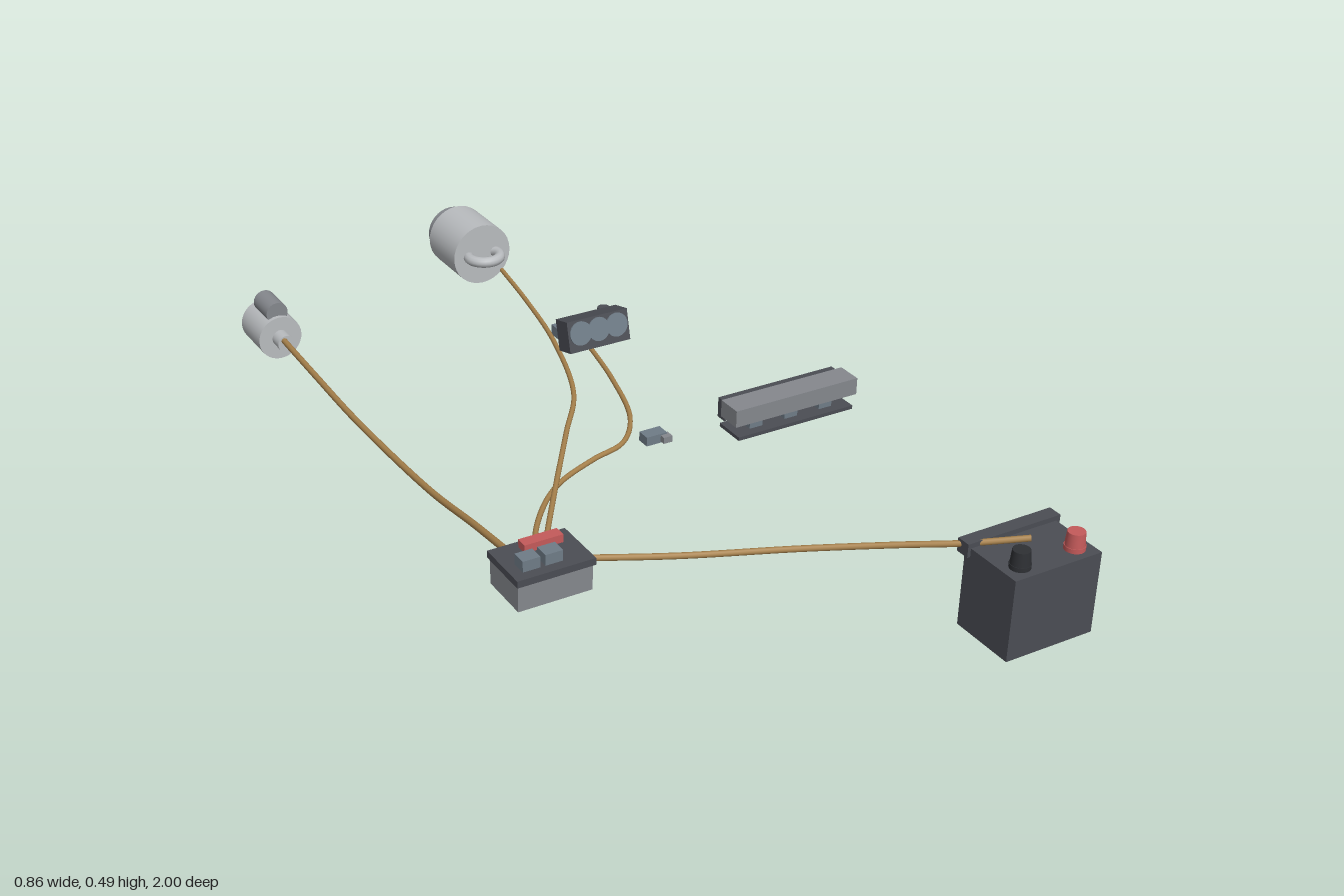
import * as THREE from 'three';

const mat = (color) => new THREE.MeshStandardMaterial({ color });
const M = {
  dark: mat(0x4b4d54), black: mat(0x2e3034), mid: mat(0x85888d), light: mat(0xb9bcbf),
  slate: mat(0x6f7c87), red: mat(0xc45a5a), cable: mat(0xa9834d),
};

export function createModel() {
  const root = new THREE.Group();

  const group = (name) => {
    const g = new THREE.Group();
    g.name = name;
    root.add(g);
    return g;
  };
  const add = (parent, name, geo, material) => {
    const m = new THREE.Mesh(geo, material);
    m.name = name;
    parent.add(m);
    return m;
  };
  // box from its low and high corners
  const box = (parent, name, material, [x0, y0, z0], [x1, y1, z1]) => {
    const m = add(parent, name, new THREE.BoxGeometry(x1 - x0, y1 - y0, z1 - z0), material);
    m.position.set((x0 + x1) / 2, (y0 + y1) / 2, (z0 + z1) / 2);
    return m;
  };
  // cylinder along z, from z0 to z1
  const cylZ = (parent, name, material, x, y, z0, z1, r) => {
    const m = add(parent, name, new THREE.CylinderGeometry(r, r, Math.abs(z1 - z0), 32), material);
    m.rotation.x = Math.PI / 2;
    m.position.set(x, y, (z0 + z1) / 2);
    return m;
  };
  // upright cylinder from y0 to y1
  const cylY = (parent, name, material, x, z, y0, y1, rBottom, rTop) => {
    const m = add(parent, name, new THREE.CylinderGeometry(rTop, rBottom, y1 - y0, 24), material);
    m.position.set(x, (y0 + y1) / 2, z);
    return m;
  };

  // battery with rear ledge and two posts
  const battery = group('battery');
  box(battery, 'batteryCase', M.dark, [0.242, 0.185, 0.876], [0.418, 0.338, 1]);
  box(battery, 'batteryLedge', M.dark, [0.236, 0.322, 0.864], [0.426, 0.347, 0.89]);
  for (const [name, x, m] of [['negative', 0.275, M.black], ['positive', 0.387, M.red]]) {
    cylY(battery, name + 'PostBase', m, x, 0.97, 0.337, 0.346, 0.018, 0.018);
    cylY(battery, name + 'Post', m, x, 0.97, 0.345, 0.371, 0.017, 0.015);
  }

  // fuse box with relays and a fuse strip
  const fuseBox = group('fuseBox');
  box(fuseBox, 'fuseBoxBase', M.mid, [-0.426, 0.265, 0.506], [-0.29, 0.313, 0.602]);
  box(fuseBox, 'fuseBoxLid', M.dark, [-0.429, 0.313, 0.502], [-0.286, 0.326, 0.606]);
  for (const x of [-0.409, -0.368]) {
    box(fuseBox, 'relay', M.slate, [x, 0.326, 0.559], [x + 0.032, 0.346, 0.587]);
  }
  box(fuseBox, 'fuseStrip', M.red, [-0.38, 0.326, 0.517], [-0.309, 0.341, 0.539]);

  // alternator with a horizontal ring at the nose
  const alternator = group('alternator');
  cylZ(alternator, 'alternatorBody', M.light, 0.205, 0.209, -0.887, -0.762, 0.069);
  cylZ(alternator, 'alternatorRearCap', M.mid, 0.205, 0.209, -0.92, -0.887, 0.055);
  const ring = add(alternator, 'alternatorRing', new THREE.TorusGeometry(0.035, 0.012, 12, 32), M.light);
  ring.rotation.x = Math.PI / 2;
  ring.position.set(0.205, 0.209, -0.752);

  // starter motor with solenoid
  const starter = group('starterMotor');
  cylZ(starter, 'starterBody', M.light, -0.234, 0.05, -1, -0.894, 0.05);
  cylZ(starter, 'starterNose', M.light, -0.234, 0.05, -0.894, -0.86, 0.019);
  cylZ(starter, 'solenoid', M.mid, -0.234, 0.106, -0.98, -0.904, 0.025);

  // gauge cluster, leaning back
  const cluster = group('gaugeCluster');
  cluster.position.set(-0.014, 0.457, 0.119);
  cluster.rotation.x = -0.25;
  box(cluster, 'clusterHousing', M.dark, [-0.062, -0.029, -0.022], [0.062, 0.029, 0.02]);
  for (const x of [-0.037, 0, 0.037]) cylZ(cluster, 'gauge', M.slate, x, 0.004, 0.018, 0.0225, 0.022);

  // rotary switch
  const knob = group('rotarySwitch');
  cylY(knob, 'switchBase', M.dark, 0.063, 0.022, 0.423, 0.429, 0.018, 0.018);
  cylY(knob, 'switchKnob', M.dark, 0.063, 0.022, 0.429, 0.443, 0.015, 0.011);

  // long control unit with rear rail, bottom plate and feet
  const unit = group('controlUnit');
  box(unit, 'unitBody', M.mid, [0.156, 0.314, 0.288], [0.42, 0.347, 0.338]);
  box(unit, 'unitRail', M.dark, [0.163, 0.302, 0.267], [0.413, 0.341, 0.289]);
  box(unit, 'unitPlate', M.dark, [0.163, 0.285, 0.275], [0.413, 0.292, 0.338]);
  for (const x of [0.212, 0.288, 0.364]) {
    box(unit, 'unitFoot', M.slate, [x - 0.014, 0.275, 0.29], [x + 0.014, 0.314, 0.32]);
  }

  // small connector boxes: main block plus a plug on its front corner
  const modules = [
    ['frontModule', [-0.306, 0.163, 0.402], [-0.224, 0.189, 0.457], [-0.31, 0.168, 0.44], [-0.285, 0.184, 0.472]],
    ['middleModule', [0.118, 0.166, 0.068], [0.163, 0.185, 0.096], [0.149, 0.169, 0.09], [0.168, 0.182, 0.108]],
    ['rearModule', [0.192, 0.164, -0.416], [0.281, 0.187, -0.358], [0.256, 0.168, -0.365], [0.281, 0.183, -0.345]],
  ];
  for (const [name, a, b, c, d] of modules) {
    const g = group(name);
    box(g, 'moduleBlock', M.slate, a, b);
    box(g, 'modulePlug', M.mid, c, d);
  }

  // wiring, all leaving the fuse box
  const cables = {
    batteryCable: [0.0055, [-0.29, 0.308, 0.572], [-0.146, 0.301, 0.632], [0.03, 0.309, 0.72],
      [0.164, 0.325, 0.81], [0.243, 0.338, 0.872], [0.33, 0.353, 0.93]],
    starterCable: [0.0065, [-0.35, 0.264, 0.505], [-0.322, 0.203, 0.25], [-0.297, 0.141, 0],
      [-0.276, 0.098, -0.38], [-0.256, 0.076, -0.64], [-0.238, 0.058, -0.865]],
    alternatorCable: [0.005, [-0.335, 0.268, 0.51], [-0.18, 0.248, 0.275], [-0.048, 0.236, 0.08],
      [0.042, 0.23, -0.053], [0.127, 0.221, -0.29], [0.175, 0.214, -0.5], [0.206, 0.208, -0.668]],
    moduleCable: [0.005, [-0.34, 0.266, 0.51], [-0.26, 0.24, 0.355], [-0.143, 0.218, 0.217],
      [-0.03, 0.209, 0.153], [0.048, 0.203, 0.12], [0.12, 0.195, 0.03], [0.18, 0.187, -0.143], [0.23, 0.178, -0.358]],
  };
  for (const [name, [r, ...pts]] of Object.entries(cables)) {
    const curve = new THREE.CatmullRomCurve3(pts.map((p) => new THREE.Vector3(...p)));
    add(root, name, new THREE.TubeGeometry(curve, 64, r, 10), M.cable);
    // closed ends
    for (const t of [0, 1]) {
      const cap = add(root, name + 'End', new THREE.CircleGeometry(r, 10), M.cable);
      cap.position.copy(curve.getPoint(t));
      const out = curve.getTangent(t).multiplyScalar(t ? 1 : -1);
      cap.quaternion.setFromUnitVectors(new THREE.Vector3(0, 0, 1), out);
    }
  }

  return root;
}
